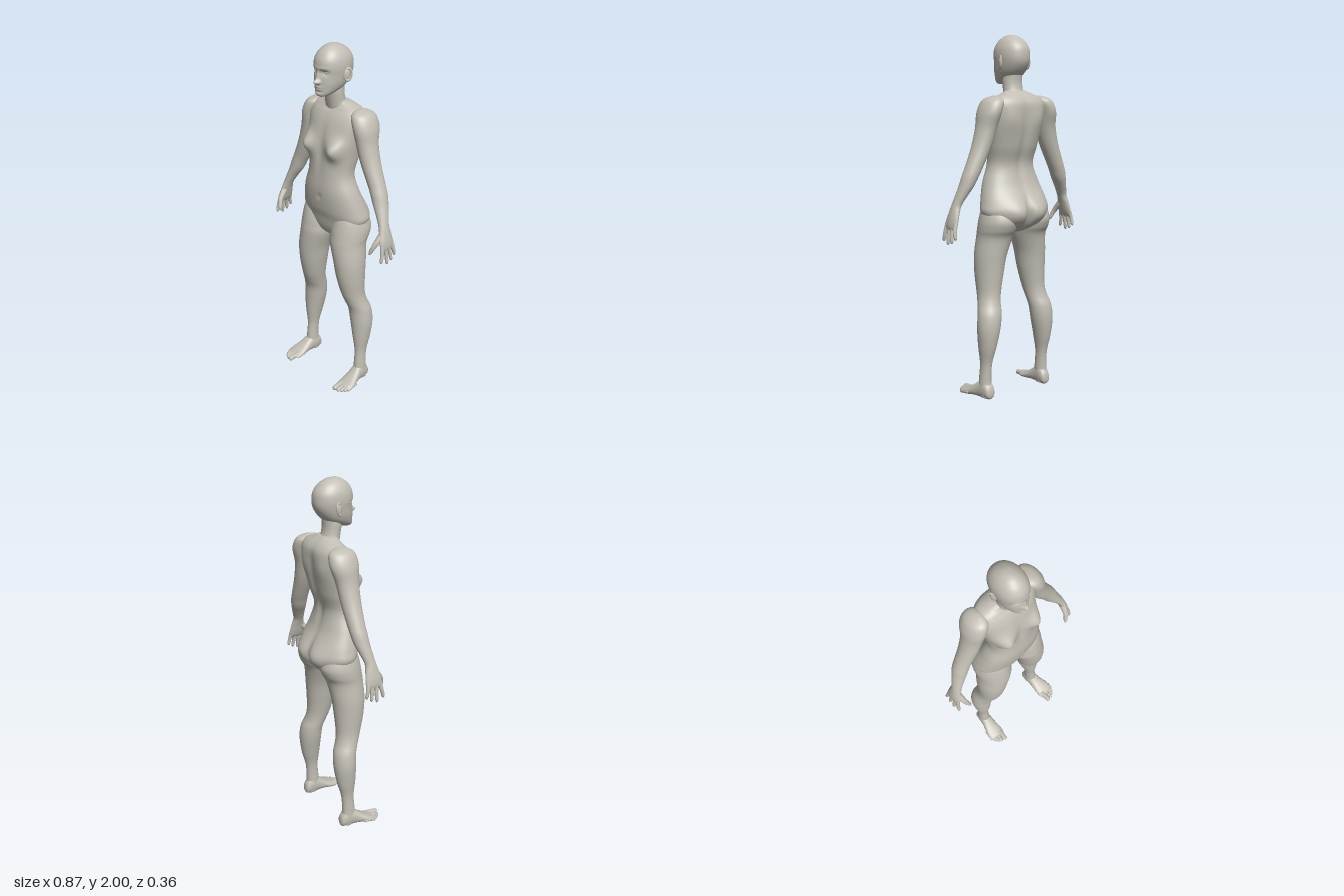
import * as THREE from 'three';
import { mergeVertices } from 'three/addons/utils/BufferGeometryUtils.js';

const skin = new THREE.MeshStandardMaterial({ color: 0xc2beb4 });
skin.name = 'warm grey';

// Smooth body through rings [height, centreX, halfWidth, frontZ, backZ], lowest first.
// Bumps [x, y, spreadX, spreadY, push, side] swell (or sink) the front (1) or back (-1).
function loft(rings, { segments = 48, steps = 6, power = 2, bumps = [] } = {}) {
  const rows = (rings.length - 1) * steps;
  const pos = [], index = [];
  const sample = (t, k) => {
    const i = Math.min(Math.floor(t), rings.length - 2), f = t - i;
    const at = n => rings[Math.max(0, Math.min(rings.length - 1, n))][k];
    const [a, b, c, d] = [at(i - 1), at(i), at(i + 1), at(i + 2)];
    const m0 = (c - a) / 2, m1 = (d - b) / 2;
    return b + f * (m0 + f * (3 * (c - b) - 2 * m0 - m1 + f * (2 * (b - c) + m0 + m1)));
  };
  const round = v => Math.sign(v) * Math.abs(v) ** (2 / power);
  for (let i = 0; i <= rows; i++) {
    const [y, cx, rx, zf, zb] = [0, 1, 2, 3, 4].map(k => sample(i / steps, k));
    for (let j = 0; j < segments; j++) {
      const a = j / segments * Math.PI * 2, s = Math.sin(a);
      const x = cx + rx * round(Math.cos(a));
      let z = (zf + zb) / 2 + (zf - zb) / 2 * round(s);
      for (const [bx, by, sx, sy, push, side] of bumps) {
        const facing = Math.min(1, Math.max(0, s * side) * 1.6);
        for (const m of bx ? [bx, -bx] : [0]) {
          z += side * push * facing * Math.exp(-(((x - m) / sx) ** 2 + ((y - by) / sy) ** 2) / 2);
        }
      }
      pos.push(x, y, z);
    }
  }
  const p = (i, j) => i * segments + j % segments;
  for (let i = 0; i < rows; i++) for (let j = 0; j < segments; j++) {
    index.push(p(i, j), p(i + 1, j), p(i, j + 1), p(i, j + 1), p(i + 1, j), p(i + 1, j + 1));
  }
  const low = pos.length / 3, first = rings[0], last = rings[rings.length - 1];
  for (const r of [first, last]) pos.push(r[1], r[0], (r[3] + r[4]) / 2);
  for (let j = 0; j < segments; j++) {
    index.push(low, p(0, j), p(0, j + 1), low + 1, p(rows, j + 1), p(rows, j));
  }
  const g = new THREE.BufferGeometry();
  g.setAttribute('position', new THREE.Float32BufferAttribute(pos, 3));
  g.setIndex(index);
  g.computeVertexNormals();
  return g;
}

// Tapered, round-ended tube for fingers and toes
function digit(points, r0, r1) {
  const curve = new THREE.CatmullRomCurve3(points.map(q => new THREE.Vector3(...q)));
  const n = 24, sides = 12;
  const g = new THREE.TubeGeometry(curve, n, 1, sides);
  const pos = g.attributes.position, v = new THREE.Vector3();
  for (let i = 0; i <= n; i++) {
    const t = i / n, c = curve.getPointAt(t), e = Math.max(0, (t - 0.82) / 0.18);
    const r = (r0 + (r1 - r0) * t) * Math.sqrt(Math.max(0.0004, 1 - e * e));
    for (let j = 0; j <= sides; j++) {
      const k = i * (sides + 1) + j;
      v.fromBufferAttribute(pos, k).sub(c).multiplyScalar(r).add(c);
      pos.setXYZ(k, v.x, v.y, v.z);
    }
  }
  g.deleteAttribute('uv');
  g.deleteAttribute('normal');
  const merged = mergeVertices(g, 1e-5);
  merged.computeVertexNormals();
  return merged;
}

function mirrored(g) {
  const m = g.clone().scale(-1, 1, 1), ix = m.index;
  for (let i = 0; i < ix.count; i += 3) {
    const a = ix.getX(i);
    ix.setX(i, ix.getX(i + 1));
    ix.setX(i + 1, a);
  }
  return m;
}

export function createModel() {
  const model = new THREE.Group();
  model.name = 'figure';
  const add = (name, g) => {
    const mesh = new THREE.Mesh(g, skin);
    mesh.name = name;
    model.add(mesh);
  };
  const pair = (name, g) => {
    add('left' + name, g);
    add('right' + name, mirrored(g));
  };

  // Torso with chest, seat, spine groove and shoulder blades
  add('torso', loft([
    [0.92, 0, 0.03, 0.03, -0.04], [0.94, 0, 0.08, 0.052, -0.09], [0.98, 0, 0.165, 0.068, -0.13],
    [1.04, 0, 0.215, 0.08, -0.15], [1.1, 0, 0.208, 0.095, -0.143], [1.2, 0, 0.178, 0.105, -0.102],
    [1.3, 0, 0.143, 0.1, -0.086], [1.4, 0, 0.152, 0.093, -0.117], [1.5, 0, 0.168, 0.083, -0.137],
    [1.58, 0, 0.18, 0.062, -0.142], [1.63, 0, 0.178, 0.04, -0.14], [1.66, 0, 0.158, 0.018, -0.125],
    [1.68, 0, 0.11, 0.005, -0.105], [1.7, 0, 0.06, 0, -0.08],
  ], {
    segments: 96, steps: 8, power: 2.25, bumps: [
      [0.103, 1.455, 0.034, 0.037, 0.05, 1],
      [0, 1.17, 0.008, 0.01, -0.008, 1],
      [0, 1.45, 0.018, 0.09, -0.008, 1],
      [0.075, 1.03, 0.052, 0.055, 0.036, -1],
      [0, 1.02, 0.013, 0.06, -0.035, -1],
      [0, 1.4, 0.02, 0.15, -0.014, -1],
      [0.095, 1.55, 0.035, 0.05, 0.01, -1],
    ],
  }));

  // Neck and head
  add('neck', loft([
    [1.65, 0, 0.075, 0.02, -0.11], [1.69, 0, 0.06, 0.028, -0.076], [1.72, 0, 0.057, 0.034, -0.065],
    [1.76, 0, 0.056, 0.04, -0.063], [1.82, 0, 0.05, 0.03, -0.07],
  ]));
  add('head', loft([
    [1.736, 0, 0.012, 0.092, 0.06], [1.742, 0, 0.032, 0.1, 0.035], [1.757, 0, 0.05, 0.104, -0.01],
    [1.78, 0, 0.066, 0.103, -0.06], [1.81, 0, 0.077, 0.103, -0.092], [1.85, 0, 0.084, 0.101, -0.115],
    [1.89, 0, 0.087, 0.104, -0.12], [1.93, 0, 0.081, 0.098, -0.113], [1.965, 0, 0.063, 0.076, -0.087],
    [1.988, 0, 0.038, 0.046, -0.052], [1.997, 0, 0.018, 0.024, -0.026], [2, 0, 0.002, 0.002, -0.004],
  ], {
    segments: 128, steps: 8, power: 2.15, bumps: [
      [0, 1.818, 0.009, 0.009, 0.024, 1], [0, 1.845, 0.007, 0.018, 0.012, 1],
      [0.012, 1.815, 0.006, 0.006, 0.01, 1],
      [0.034, 1.867, 0.015, 0.011, -0.013, 1], [0.03, 1.889, 0.018, 0.006, 0.004, 1],
      [0, 1.791, 0.016, 0.005, 0.008, 1], [0, 1.777, 0.014, 0.005, 0.007, 1],
      [0, 1.765, 0.018, 0.004, -0.004, 1], [0, 1.751, 0.018, 0.009, 0.004, 1],
    ],
  }));
  pair('Eye', new THREE.SphereGeometry(0.014, 24, 16).scale(1.1, 0.75, 1).translate(0.035, 1.867, 0.071));
  pair('Ear', new THREE.SphereGeometry(0.02, 24, 16).scale(0.5, 1.6, 1)
    .rotateY(-0.4).translate(0.088, 1.847, -0.018));
  pair('EarRim', new THREE.TorusGeometry(0.019, 0.005, 10, 32).scale(1, 1.6, 1)
    .rotateY(Math.PI / 2 - 0.5).rotateX(-0.15).translate(0.093, 1.85, -0.022));

  // Arms run from the shoulder cap into the palm
  pair('Arm', loft([
    [0.966, 0.417, 0.006, 0.03, -0.04], [0.985, 0.413, 0.015, 0.04, -0.053],
    [1.02, 0.405, 0.02, 0.043, -0.052], [1.06, 0.394, 0.022, 0.032, -0.046],
    [1.1, 0.38, 0.025, 0.022, -0.041], [1.15, 0.357, 0.032, 0.015, -0.058],
    [1.2, 0.332, 0.041, 0.01, -0.076], [1.25, 0.312, 0.046, 0.007, -0.086],
    [1.3, 0.288, 0.049, 0.005, -0.091], [1.4, 0.243, 0.053, 0.01, -0.1],
    [1.5, 0.212, 0.055, 0.016, -0.112], [1.58, 0.196, 0.058, 0.026, -0.135],
    [1.635, 0.176, 0.056, 0.02, -0.132], [1.66, 0.165, 0.04, 0, -0.11], [1.673, 0.155, 0.01, -0.04, -0.07],
  ]));

  // Fingers: [base height, base z, tip x, tip height, tip z]
  [[0.99, 0.03, 0.424, 0.903, 0.05], [0.985, 0.007, 0.428, 0.887, 0.006],
    [0.985, -0.017, 0.427, 0.897, -0.028], [0.99, -0.04, 0.422, 0.918, -0.058],
  ].forEach(([y, z, tx, ty, tz], i) => pair('Finger' + (i + 1), digit([
    [0.411, y + 0.015, z], [0.422, (y + ty) / 2, (z + tz) / 2], [tx, ty, tz],
  ], 0.0125, 0.0085)));
  pair('Thumb', digit([[0.393, 1.05, 0.015], [0.382, 1.0, 0.056], [0.362, 0.945, 0.078]], 0.019, 0.009));

  // Legs from hip to ankle
  pair('Leg', loft([
    [0.01, 0.206, 0.028, 0, -0.07], [0.05, 0.207, 0.034, 0.012, -0.072], [0.1, 0.207, 0.032, 0.013, -0.064],
    [0.2, 0.205, 0.031, 0.006, -0.07], [0.3, 0.202, 0.048, 0.015, -0.096], [0.4, 0.195, 0.064, 0.02, -0.11],
    [0.48, 0.185, 0.067, 0.025, -0.105], [0.54, 0.172, 0.064, 0.046, -0.084], [0.6, 0.162, 0.066, 0.067, -0.075],
    [0.7, 0.153, 0.078, 0.09, -0.08], [0.8, 0.143, 0.088, 0.1, -0.09], [0.9, 0.121, 0.1, 0.099, -0.108],
    [0.95, 0.118, 0.105, 0.092, -0.135], [1, 0.117, 0.103, 0.083, -0.147],
    [1.06, 0.122, 0.08, 0.065, -0.12], [1.12, 0.13, 0.03, 0.03, -0.06],
  ], { segments: 56 }));

  // Feet are lofted heel to toe, then laid forward: [z, x, halfWidth, -bottom, -top]
  pair('Foot', loft([
    [-0.081, 0.205, 0.01, -0.022, -0.045], [-0.072, 0.205, 0.027, -0.006, -0.075],
    [-0.04, 0.206, 0.034, 0, -0.11], [0, 0.209, 0.036, -0.002, -0.1], [0.04, 0.214, 0.042, -0.004, -0.072],
    [0.08, 0.219, 0.05, -0.001, -0.048], [0.11, 0.22, 0.05, 0, -0.035],
    [0.13, 0.214, 0.04, -0.003, -0.028], [0.14, 0.208, 0.024, -0.008, -0.02],
  ], { power: 2.2 }).rotateX(Math.PI / 2));

  // Toes: [x, tip z, radius]
  [[0.197, 0.18, 0.0155], [0.221, 0.174, 0.0105], [0.238, 0.163, 0.01], [0.252, 0.147, 0.0095],
    [0.263, 0.129, 0.009],
  ].forEach(([x, z, r], i) => pair('Toe' + (i + 1), digit([
    [x - 0.004, 0.022, z - 0.075], [x, 0.019, z - 0.03], [x, r, z],
  ], r, r * 0.95)));

  return model;
}
